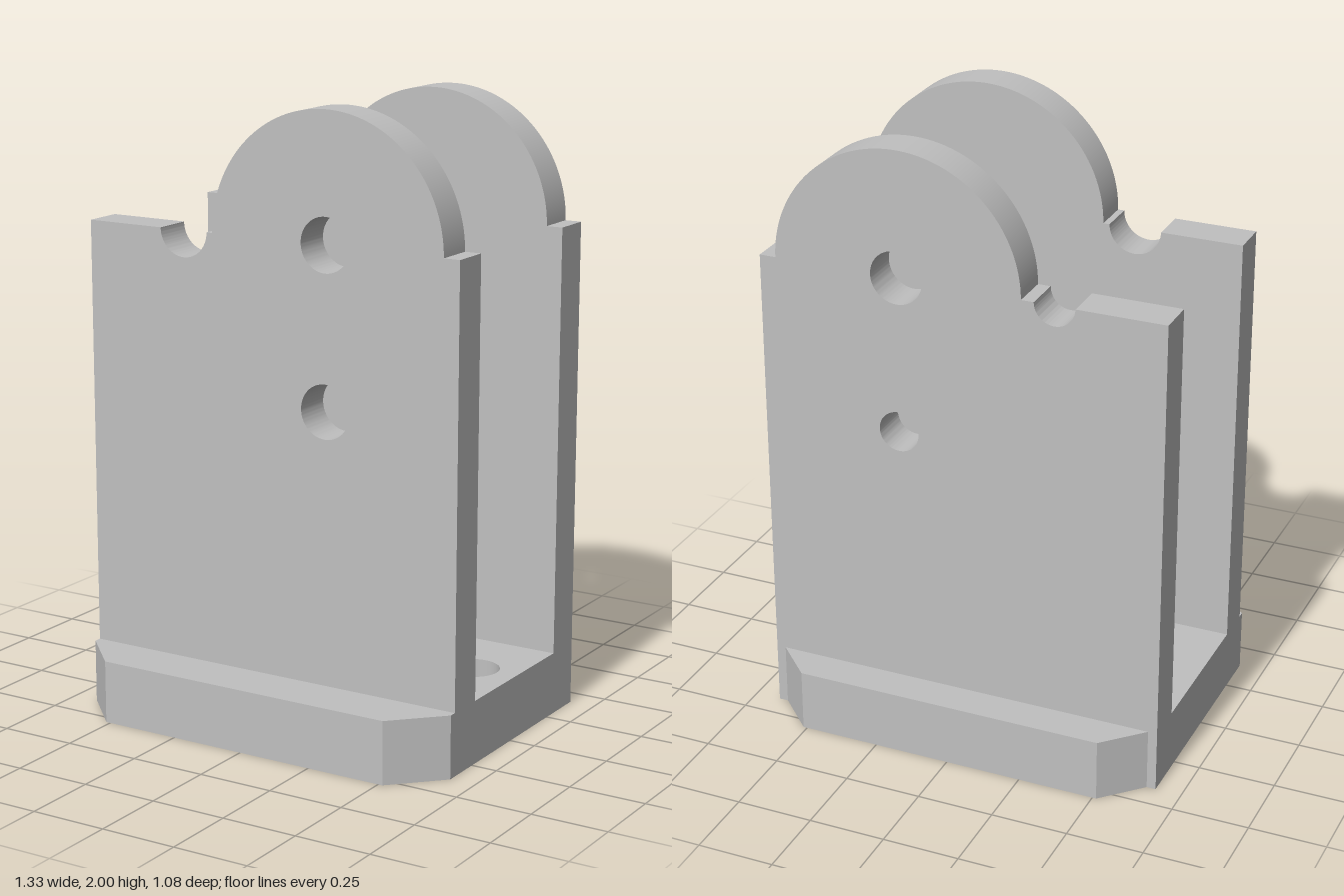
import * as THREE from 'three';
import { toCreasedNormals } from 'three/addons/utils/BufferGeometryUtils.js';

const HALF = 0.665;      // half width of the bracket
const BASE_TOP = 0.205;
const SHOULDER = 1.593;  // height of the plate's straight top edge

const steel = new THREE.MeshStandardMaterial({ color: 0xc0c0c0 });
steel.name = 'light grey steel';

function addHole(shape, x, y, r) {
  shape.holes.push(new THREE.Path().absarc(x, y, r, 0, Math.PI * 2, true));
}

function extrude(shape, depth) {
  const geometry = new THREE.ExtrudeGeometry(shape, { depth, bevelEnabled: false, curveSegments: 48 });
  return toCreasedNormals(geometry, 0.5);
}

// Base block with chamfered corners; shape y is -z
function makeBase() {
  const shape = new THREE.Shape([
    [-0.515, -0.536], [0.515, -0.536], [HALF, -0.386], [HALF, 0.418], [0.635, 0.418],
    [0.513, 0.54], [-0.513, 0.54], [-0.635, 0.418], [-HALF, 0.418], [-HALF, -0.386],
  ].map(([x, y]) => new THREE.Vector2(x, y)));
  addHole(shape, 0.05, 0.028, 0.207);
  addHole(shape, -0.413, 0.028, 0.086);
  addHole(shape, 0.512, 0.028, 0.086);
  const mesh = new THREE.Mesh(extrude(shape, BASE_TOP).rotateX(-Math.PI / 2), steel);
  mesh.name = 'base';
  return mesh;
}

// Upright plate with a domed lug, two pin holes and a half-round notch
function makePlate(name, zBack, zFront, smallRadius) {
  const shape = new THREE.Shape();
  shape.moveTo(-HALF, BASE_TOP);
  shape.lineTo(HALF, BASE_TOP);
  shape.lineTo(HALF, SHOULDER);
  shape.lineTo(0.611, SHOULDER);
  shape.absarc(0.204, SHOULDER, 0.407, 0, Math.PI, false);
  shape.absarc(-0.31, SHOULDER, smallRadius, 0, -Math.PI, true);
  shape.lineTo(-HALF, SHOULDER);
  addHole(shape, 0.204, SHOULDER, 0.086);
  addHole(shape, 0.204, 1.08, smallRadius);
  const mesh = new THREE.Mesh(extrude(shape, zFront - zBack), steel);
  mesh.position.z = zBack;
  mesh.name = name;
  return mesh;
}

export function createModel() {
  const model = new THREE.Group();
  model.name = 'clevis bracket';
  model.add(
    makeBase(),
    makePlate('frontPlate', 0.235, 0.362, 0.086),
    makePlate('backPlate', -0.418, -0.289, 0.066),
  );
  return model;
}
